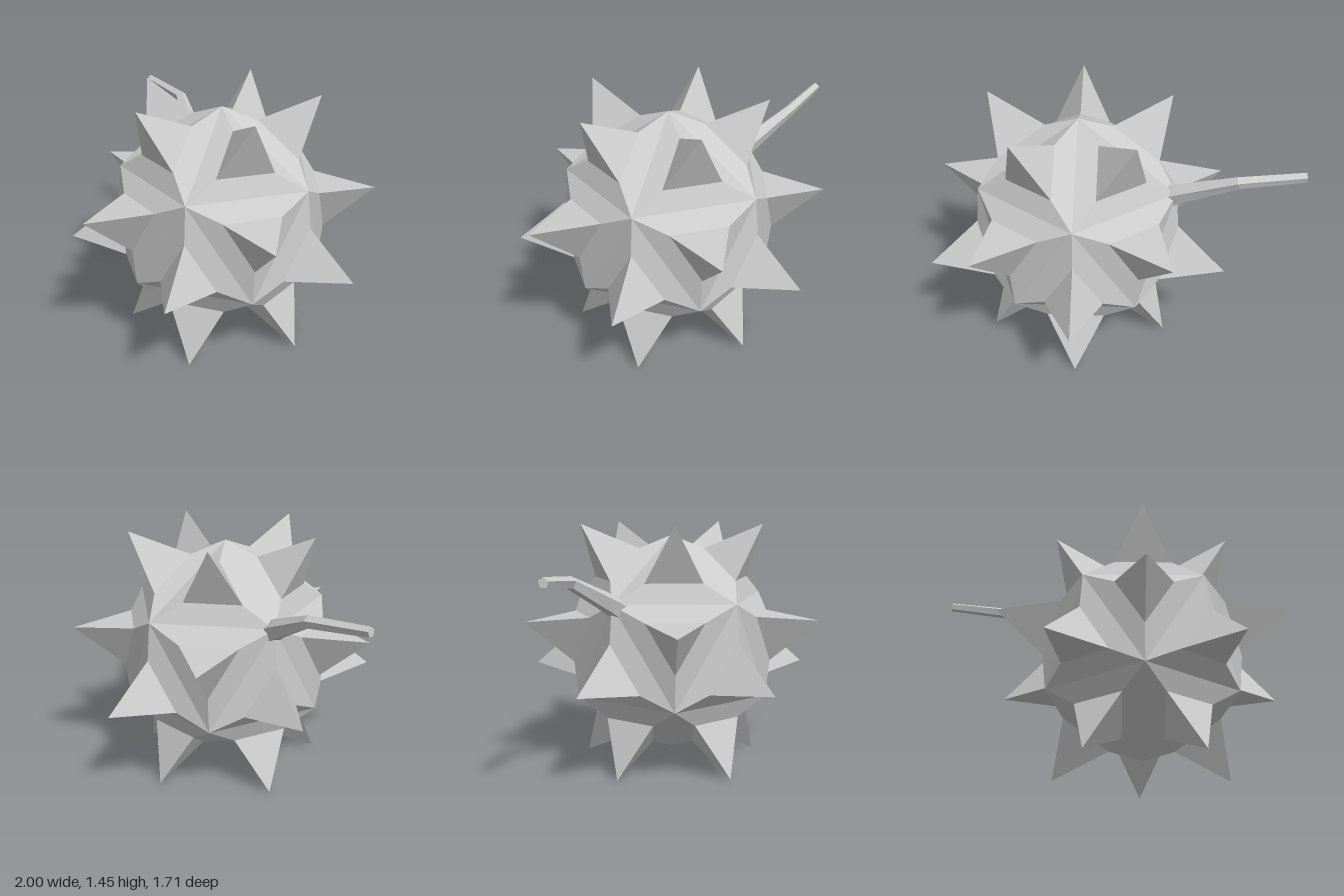
import * as THREE from 'three';

const CORE = 0.657;         // radius of the icosahedral core's corners
const TIP = 0.915;          // distance of the spike tips from the centre
const PLATE = 0.584;        // distance of each raised plate from the centre
const INSET = 0.478;        // size of a plate relative to its core face
const CENTRE = new THREE.Vector3(0.1, 0.733, 0);

const material = new THREE.MeshStandardMaterial({ color: 0xcccccc, flatShading: true });

function meshFrom(points, name) {
  const geometry = new THREE.BufferGeometry().setFromPoints(points);
  geometry.computeVertexNormals();
  const mesh = new THREE.Mesh(geometry, material);
  mesh.name = name;
  return mesh;
}

// Point on a ring of the core, azimuth in degrees from +x towards +z
function ringPoint(degrees, side) {
  const a = THREE.MathUtils.degToRad(degrees);
  const r = CORE * 2 / Math.sqrt(5);
  return new THREE.Vector3(r * Math.cos(a), side * CORE / Math.sqrt(5), r * Math.sin(a));
}

// The twenty triangles of the core, wound outward
function coreFaces() {
  const top = new THREE.Vector3(0, CORE, 0), bottom = new THREE.Vector3(0, -CORE, 0);
  const faces = [];
  for (let i = 0; i < 5; i++) {
    const a = i * 72;
    const u0 = ringPoint(a, 1), u1 = ringPoint(a + 72, 1);
    const l0 = ringPoint(a + 36, -1), l1 = ringPoint(a + 108, -1);
    faces.push([top, u1, u0], [u0, u1, l0], [u1, l1, l0], [bottom, l0, l1]);
  }
  return faces;
}

// Bent five-sided stem, from rings around a path
function createStem() {
  const stations = [
    { p: new THREE.Vector3(-0.33, 0.99, -0.3), r: 0.066 },
    { p: new THREE.Vector3(-0.39, 1.032, -0.35), r: 0.058 },
    { p: new THREE.Vector3(-0.645, 1.177, -0.543), r: 0.035 },
    { p: new THREE.Vector3(-0.992, 1.212, -0.638), r: 0.028 },
  ];
  const sides = 5, up = new THREE.Vector3(0, 1, 0);
  const rings = stations.map(({ p, r }, i) => {
    const before = stations[Math.max(i - 1, 0)].p;
    const after = stations[Math.min(i + 1, stations.length - 1)].p;
    const t = after.clone().sub(before).normalize();
    const u = new THREE.Vector3().crossVectors(up, t).normalize();
    const v = new THREE.Vector3().crossVectors(t, u);
    return Array.from({ length: sides }, (_, k) => {
      const a = Math.PI / 2 + k / sides * Math.PI * 2;
      return p.clone().addScaledVector(u, r * Math.cos(a)).addScaledVector(v, r * Math.sin(a));
    });
  });
  const points = [];
  for (let i = 0; i < rings.length - 1; i++) {
    for (let k = 0; k < sides; k++) {
      const n = (k + 1) % sides;
      const a = rings[i][k], b = rings[i][n], c = rings[i + 1][n], d = rings[i + 1][k];
      points.push(a, b, c, a, c, d);
    }
  }
  // End cap
  const end = rings[rings.length - 1];
  for (let k = 1; k < sides - 1; k++) points.push(end[0], end[k], end[k + 1]);
  return meshFrom(points, 'stem');
}

export function createModel() {
  const model = new THREE.Group();
  model.name = 'spikyBall';

  const ball = new THREE.Group();
  ball.name = 'ball';
  ball.position.copy(CENTRE);
  model.add(ball);

  const shell = [];
  coreFaces().forEach((face, i) => {
    const middle = face[0].clone().add(face[1]).add(face[2]).divideScalar(3);
    const normal = middle.clone().normalize();
    const plate = face.map((v) =>
      v.clone().sub(middle).multiplyScalar(INSET).addScaledVector(normal, PLATE));
    const tip = normal.clone().multiplyScalar(TIP);
    const spike = [];
    for (let k = 0; k < 3; k++) {
      const n = (k + 1) % 3;
      // Sloping flank from the core edge to the plate, then the spike side
      shell.push(face[k], face[n], plate[n], face[k], plate[n], plate[k]);
      spike.push(plate[k], plate[n], tip);
    }
    ball.add(meshFrom(spike, `spike${i + 1}`));
  });
  ball.add(meshFrom(shell, 'shell'));

  model.add(createStem());
  return model;
}
